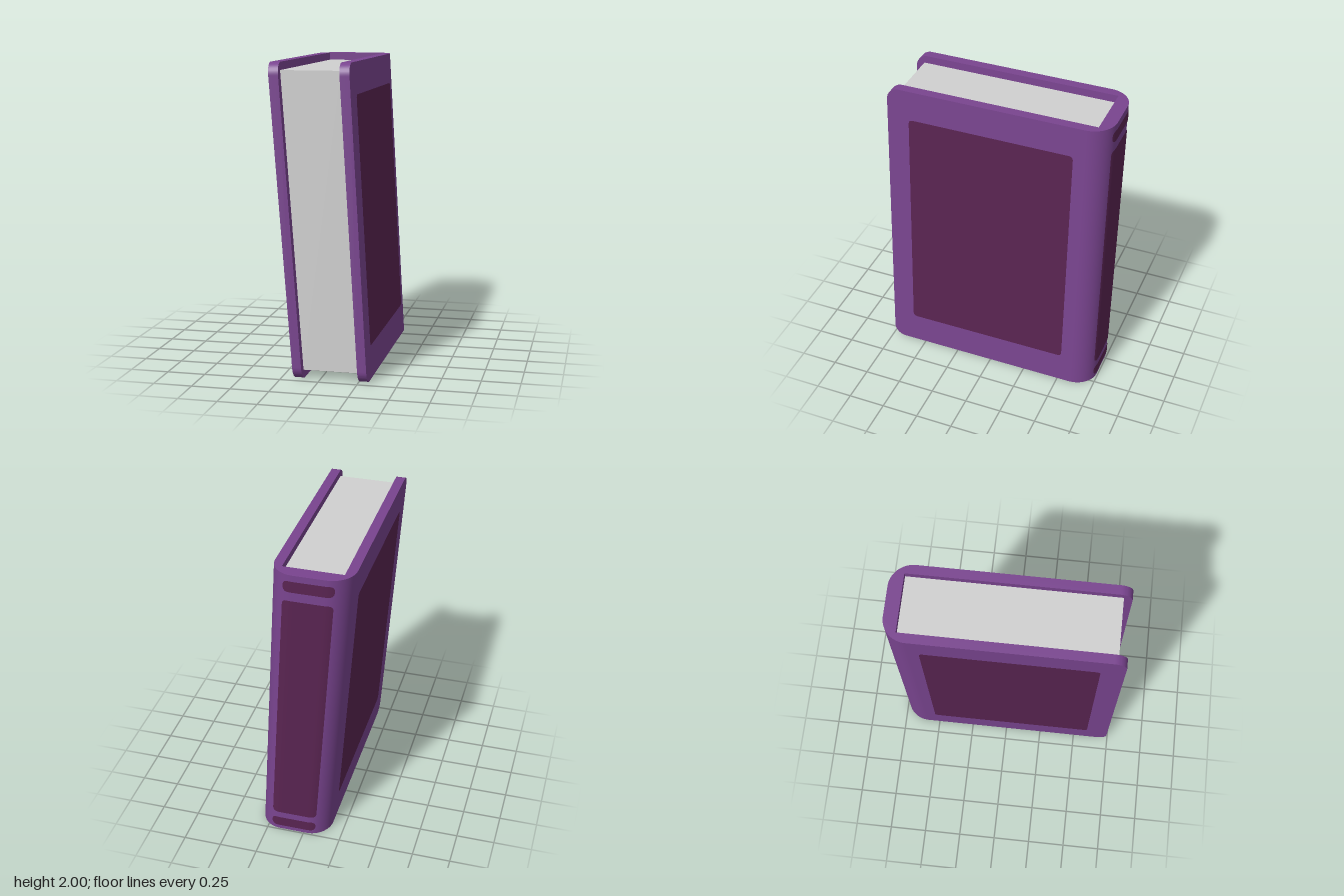
import * as THREE from 'three';
import { mergeGeometries, toCreasedNormals } from 'three/addons/utils/BufferGeometryUtils.js';

const H = 2, HALF = 0.255, INNER = 0.1925;   // height, half thickness outside and inside the boards
const FRONT = 0.74, BACK = 0.74, R = 0.155;  // depth to each side, spine corner radius
const SEAM = BACK - R;

// Lean the upright book to one side and taper it slightly towards the foot
function lean(geo) {
  const p = geo.attributes.position;
  for (let i = 0; i < p.count; i++) {
    const t = p.getY(i) / H;
    const centre = THREE.MathUtils.lerp(0.0735, -0.06, t);
    p.setX(i, centre + p.getX(i) * THREE.MathUtils.lerp(0.935, 1, t));
  }
  geo.computeVertexNormals();
  return geo;
}

// Cover board, its two front corners rounded, lying between x0 and x0 + thickness
function board(x0) {
  const r = 0.08, s = new THREE.Shape();
  s.moveTo(SEAM, 0);
  s.lineTo(SEAM, H);
  s.lineTo(-FRONT + r, H);
  s.absarc(-FRONT + r, H - r, r, Math.PI / 2, Math.PI, false);
  s.absarc(-FRONT + r, r, r, Math.PI, Math.PI * 1.5, false);
  s.closePath();
  const g = new THREE.ExtrudeGeometry(s, { depth: HALF - INNER, bevelEnabled: false, curveSegments: 8 });
  return g.rotateY(Math.PI / 2).translate(x0, 0, 0);
}

// Spine with rounded outer corners and a square inside
function spine() {
  const s = new THREE.Shape();
  s.moveTo(HALF, SEAM);
  s.absarc(HALF - R, SEAM, R, 0, Math.PI / 2, false);
  s.absarc(-HALF + R, SEAM, R, Math.PI / 2, Math.PI, false);
  s.lineTo(-INNER, SEAM);
  s.lineTo(-INNER, 0.65);
  s.lineTo(INNER, 0.65);
  s.lineTo(INNER, SEAM);
  s.closePath();
  const g = new THREE.ExtrudeGeometry(s, { depth: H, bevelEnabled: false, curveSegments: 10 });
  return g.rotateX(-Math.PI / 2);
}

// Thin rounded panel, width 2w, from y0 to y1; place(u) gives [x, z] on the cover surface
function panel(w, y0, y1, r, place) {
  const g = new THREE.PlaneGeometry(2, 2, 32, 1);
  const p = g.attributes.position;
  for (let i = 0; i < p.count; i++) {
    const u = w * Math.sin(p.getX(i) * Math.PI / 2);
    const d = Math.max(0, Math.abs(u) - (w - r));
    const inset = r - Math.sqrt(Math.max(0, r * r - d * d));
    const [x, z] = place(u);
    p.setXYZ(i, x, p.getY(i) > 0 ? y1 - inset : y0 + inset, z);
  }
  return lean(g);
}

// Outer surface of the spine at a given x
function spineZ(x) {
  const d = Math.max(0, Math.abs(x) - (HALF - R));
  return -SEAM - Math.sqrt(R * R - d * d);
}

export function createModel() {
  const book = new THREE.Group();
  book.name = 'book';
  const material = (name, color) => {
    const m = new THREE.MeshStandardMaterial({ color });
    m.name = name;
    return m;
  };
  const purple = material('cover purple', 0x79448f);
  const plum = material('panel plum', 0x592451);
  const paper = material('paper grey', 0xd0d0d0);

  const add = (name, geo, mat) => {
    const mesh = new THREE.Mesh(geo, mat);
    mesh.name = name;
    book.add(mesh);
  };

  // Boards and spine
  const cover = mergeGeometries([board(INNER), board(-HALF), spine()]);
  add('cover', toCreasedNormals(lean(cover), 0.5), purple);

  // Page block
  const pages = new THREE.BoxGeometry(INNER * 2, 1.895, 1.335).translate(0, 1.0025, 0.0175);
  add('pages', lean(pages), paper);

  // Large panel on each board
  const lift = 0.004;
  for (const side of [1, -1]) {
    const geo = panel(0.555, 0.21, 1.8, 0.025, (u) => [side * (HALF + lift), 0.035 - side * u]);
    add(side > 0 ? 'leftCoverPanel' : 'rightCoverPanel', geo, plum);
  }

  // Spine panels: foot band, long panel, head band
  const bands = [['spineFootBand', 0.03, 0.1], ['spinePanel', 0.145, 1.825], ['spineHeadBand', 1.885, 1.96]];
  for (const [name, y0, y1] of bands) {
    add(name, panel(0.16, y0, y1, 0.03, (u) => [-u, spineZ(u) - lift]), plum);
  }
  return book;
}
